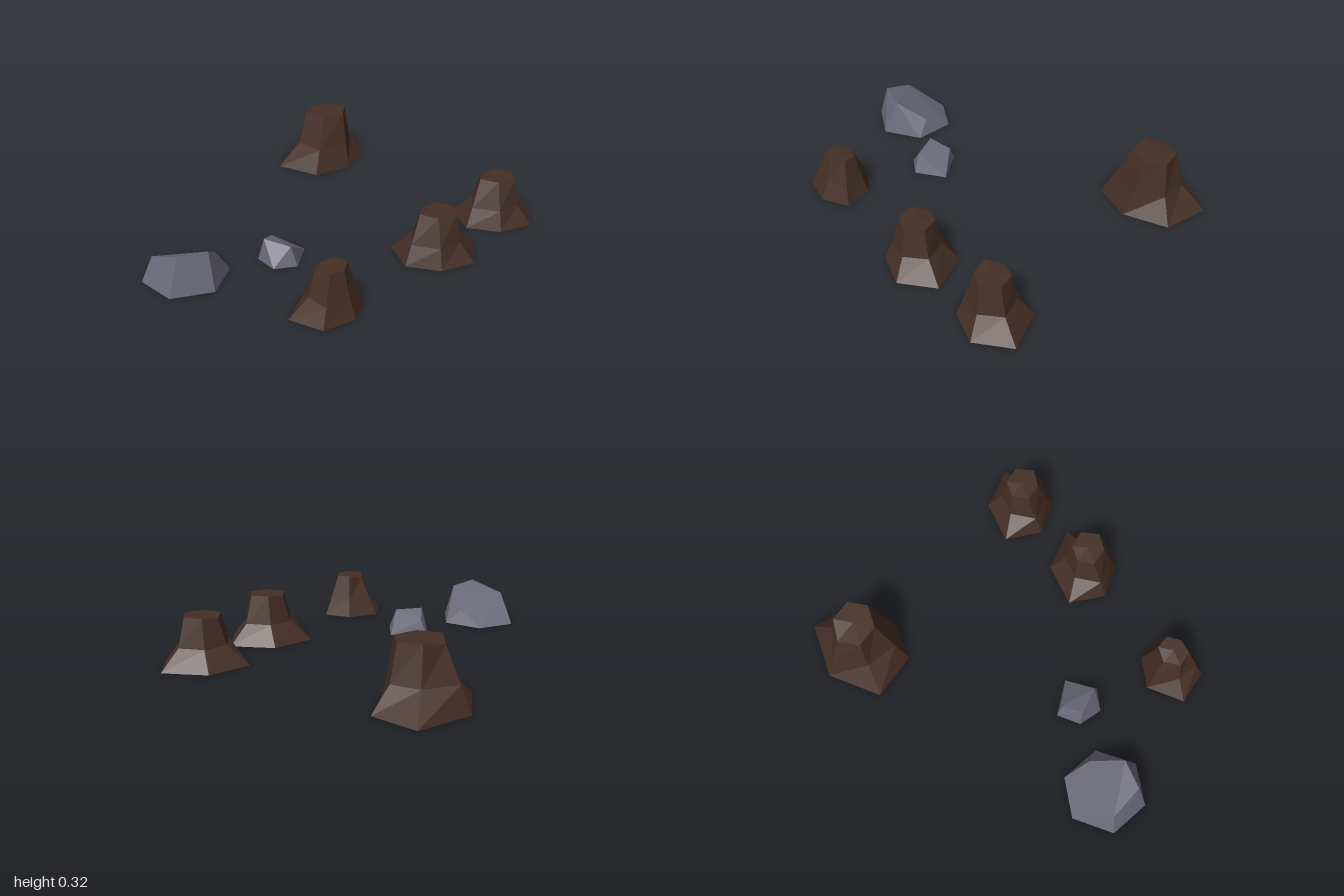
import * as THREE from 'three';
import { ConvexGeometry } from 'three/addons/geometries/ConvexGeometry.js';

const material = (name, color) => Object.assign(new THREE.MeshStandardMaterial({ color }), { name });

export function createModel() {
  const group = new THREE.Group();
  const earth = material('brown earth', 0x452f25);
  const stone = material('grey stone', 0x6b6a7a);
  const underside = material('dark underside', 0x1a0908);

  // Faceted mesh whose downward faces take the dark material
  function addMesh(name, geometry, mat) {
    geometry.computeVertexNormals();
    const normal = geometry.attributes.normal;
    geometry.clearGroups();
    for (let i = 0; i < normal.count; i += 3) {
      geometry.addGroup(i, 3, normal.getY(i) < -0.9 ? 1 : 0);
    }
    const mesh = new THREE.Mesh(geometry, [mat, underside]);
    mesh.name = name;
    group.add(mesh);
    return mesh;
  }

  // Six-sided mound: base, flared waist and top rings, listed clockwise from the back left.
  // flare says how far each waist corner is drawn in towards the top ring.
  function moundGeometry(base, top, flare, height, droop) {
    const n = base.length;
    const rings = [
      base.map(([x, z]) => [x, 0.004, z]),
      base.map(([x, z], i) => [
        x + (top[i][0] - x) * flare[i], height * 0.42, z + (top[i][1] - z) * flare[i],
      ]),
      top.map(([x, z], i) => [x, height - (i === n - 1 ? droop : 0), z]),
    ];
    const centre = (ring, y) => [
      ring.reduce((s, p) => s + p[0], 0) / n, y, ring.reduce((s, p) => s + p[2], 0) / n,
    ];
    const low = centre(rings[0], 0.004), high = centre(rings[2], height);
    const v = [];
    for (let i = 0; i < n; i++) {
      const j = (i + 1) % n;
      for (let r = 0; r < 2; r++) {
        const [a, b, c, d] = [rings[r][i], rings[r][j], rings[r + 1][j], rings[r + 1][i]];
        v.push(...b, ...a, ...d, ...b, ...d, ...c);
      }
      v.push(...high, ...rings[2][j], ...rings[2][i]);
      v.push(...low, ...rings[0][i], ...rings[0][j]);
    }
    const geometry = new THREE.BufferGeometry();
    geometry.setAttribute('position', new THREE.Float32BufferAttribute(v, 3));
    return geometry;
  }

  // Large mound at the back
  addMesh('largeMound', moundGeometry(
    [[-0.68, -0.995], [-0.435, -0.92], [-0.38, -0.68], [-0.48, -0.475], [-0.735, -0.45], [-0.83, -0.735]],
    [[-0.63, -0.815], [-0.515, -0.825], [-0.46, -0.73], [-0.525, -0.62], [-0.645, -0.61], [-0.7, -0.72]],
    [0.73, 0.73, 0.5, 0.43, 0.73, 0.43], 0.32, 0.02), earth);

  // Small mound at the front
  addMesh('smallMound', moundGeometry(
    [[0.33, 0.49], [0.485, 0.49], [0.535, 0.64], [0.465, 0.795], [0.28, 0.815], [0.215, 0.615]],
    [[0.355, 0.55], [0.43, 0.55], [0.46, 0.62], [0.43, 0.695], [0.35, 0.7], [0.31, 0.62]],
    [0.5, 0.43, 0.5, 0.43, 0.75, 0.43], 0.235, 0.015), earth);

  // Twin mounds on the left side
  [['middleMound', 0, 0], ['backMound', 0.072, -0.522]].forEach(([name, x, z]) => {
    addMesh(name, moundGeometry(
      [[0.425, -0.23], [0.657, -0.298], [0.757, -0.113], [0.662, 0.05], [0.488, 0.114], [0.325, -0.012]],
      [[0.505, -0.15], [0.6, -0.165], [0.655, -0.083], [0.6, -0.005], [0.5, 0.008], [0.46, -0.075]],
      [0.73, 0.73, 0.73, 0.43, 0.43, 0.75], 0.258, 0.01), earth).position.set(x, 0, z);
  });

  // Rocks as convex hulls: ground outline plus raised corners
  function addRock(name, outline, corners) {
    const points = [...outline.map(([x, z]) => [x, 0.002, z]), ...corners];
    addMesh(name, new ConvexGeometry(points.map((p) => new THREE.Vector3(...p))), stone);
  }
  addRock('largeRock',
    [[-0.445, 0.585], [-0.23, 0.62], [-0.15, 0.825], [-0.29, 0.995], [-0.505, 0.96], [-0.583, 0.75]],
    [[-0.465, 0.14, 0.915], [-0.285, 0.2, 0.925], [-0.215, 0.187, 0.785], [-0.31, 0.083, 0.64], [-0.483, 0.06, 0.78]]);
  addRock('smallRock',
    [[-0.035, 0.255], [0.04, 0.415], [-0.045, 0.505], [-0.17, 0.47], [-0.213, 0.345]],
    [[-0.14, 0.122, 0.455], [0.002, 0.105, 0.42], [-0.178, 0.08, 0.345]]);

  return group;
}
